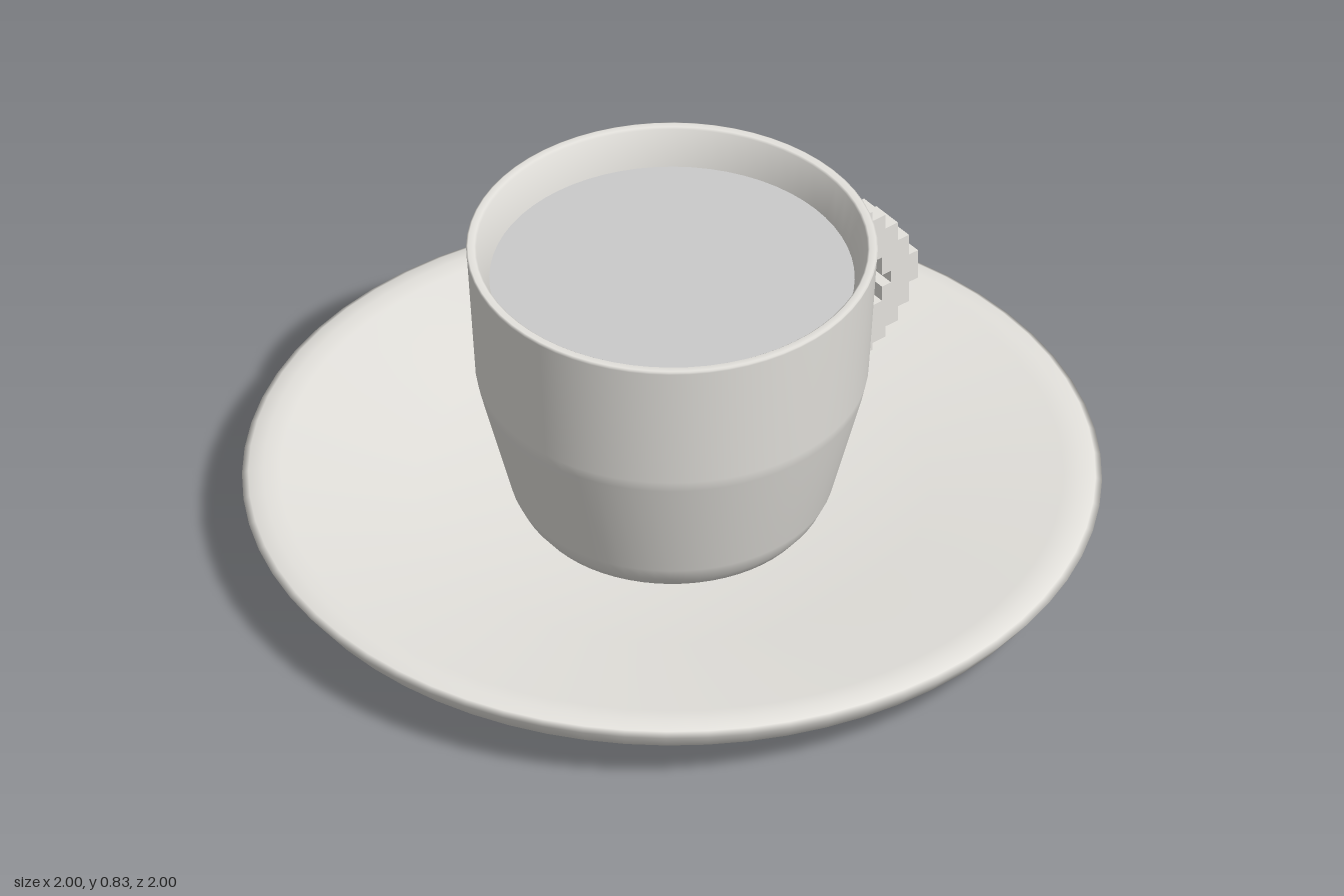
import * as THREE from 'three';

const porcelain = new THREE.MeshStandardMaterial({ color: 0xe4e2dd });
porcelain.name = 'warm white porcelain';
const drink = new THREE.MeshStandardMaterial({ color: 0xcacaca });
drink.name = 'grey drink';

// Turns a profile of [radius, height] pairs around the y axis
function turned(name, profile) {
  const points = profile.map(([r, y]) => new THREE.Vector2(r, y));
  const mesh = new THREE.Mesh(new THREE.LatheGeometry(points, 64), porcelain);
  mesh.name = name;
  return mesh;
}

export function createModel() {
  const model = new THREE.Group();
  model.name = 'cupAndSaucer';

  // Saucer: flat base, flared side, rounded rim and shallow dished top
  model.add(turned('saucer', [
    [0, 0], [0.78, 0], [0.8, 0.002], [0.965, 0.11], [1, 0.157], [0.985, 0.166],
    [0.95, 0.173], [0.91, 0.17], [0.6, 0.127], [0.3, 0.085], [0, 0.08],
  ]));

  // Cup: rounded foot, tapered wall, thin rim and hollow inside
  model.add(turned('cup', [
    [0, 0.085], [0.3, 0.085], [0.335, 0.1], [0.358, 0.13], [0.377, 0.17],
    [0.452, 0.46], [0.458, 0.49], [0.478, 0.822], [0.479, 0.828], [0.475, 0.83],
    [0.46, 0.83], [0.455, 0.826], [0.425, 0.74], [0.42, 0.6], [0.33, 0.17], [0, 0.15],
  ]));

  // Drink surface inside the cup
  const surface = new THREE.Mesh(new THREE.CircleGeometry(0.427, 64), drink);
  surface.name = 'drinkSurface';
  surface.rotation.x = -Math.PI / 2;
  surface.position.y = 0.74;
  model.add(surface);

  // Handle: upright blocks stepped along an arc
  const handle = new THREE.Group();
  handle.name = 'handle';
  const block = new THREE.BoxGeometry(0.08, 0.08, 0.08);
  const centres = [
    [0.48, 0.66], [0.525, 0.647], [0.563, 0.62], [0.6, 0.58], [0.633, 0.528], [0.66, 0.47],
    [0.633, 0.414], [0.6, 0.373], [0.563, 0.343], [0.525, 0.323], [0.48, 0.31],
  ];
  centres.forEach(([x, y], i) => {
    const mesh = new THREE.Mesh(block, porcelain);
    mesh.name = `handleBlock${i + 1}`;
    mesh.position.set(x, y, 0);
    handle.add(mesh);
  });
  model.add(handle);

  return model;
}
